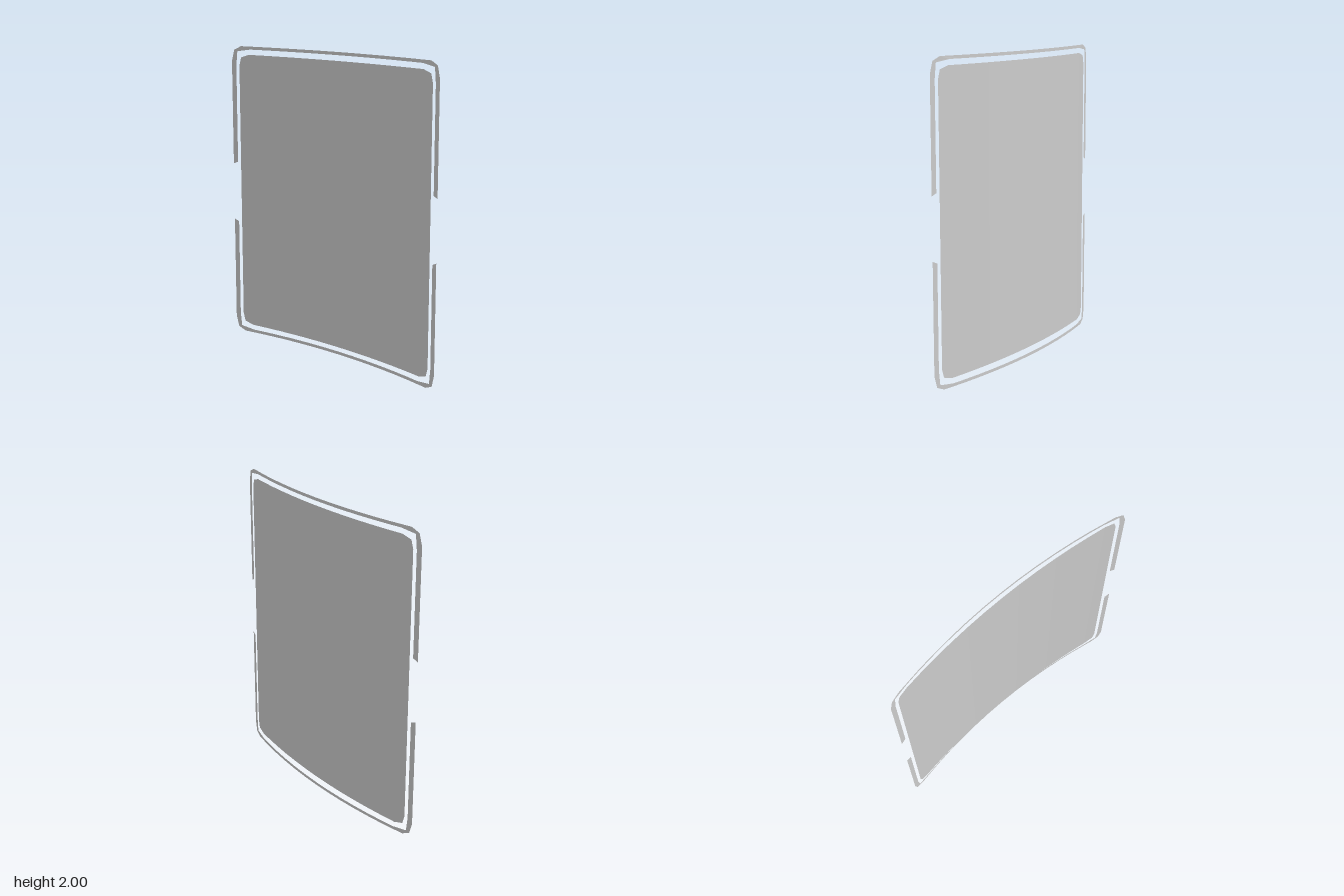
import * as THREE from 'three';

const material = new THREE.MeshStandardMaterial({ color: 0xcccccc, flatShading: true, side: THREE.DoubleSide });

// Shallow bows across the width
const frameBow = (x) => -0.047 + 0.121 * x * x;
const panelBow = (x) => -0.036 + 0.105 * x * x;

// Bent ribbon between two rows of [x, y] points, front towards +z
function ribbon(name, lower, upper, bow) {
  const positions = [];
  const index = [];
  lower.forEach((low, i) => {
    for (const [x, y] of [low, upper[i]]) positions.push(x, y, bow(x));
    if (i > 0) {
      const a = 2 * (i - 1);
      index.push(a, a + 2, a + 3, a, a + 3, a + 1);
    }
  });
  const geometry = new THREE.BufferGeometry();
  geometry.setAttribute('position', new THREE.Float32BufferAttribute(positions, 3));
  geometry.setIndex(index);
  geometry.computeVertexNormals();
  const mesh = new THREE.Mesh(geometry, material);
  mesh.name = name;
  return mesh;
}

// Complete a right half (ordered from the centre outwards) with its mirror image
const mirrorX = (half) => [...half.slice(1).reverse().map(([x, y]) => [-x, y]), ...half];
const flipY = (points) => points.map(([x, y]) => [x, 2 - y]);

export function createModel() {
  const group = new THREE.Group();
  group.name = 'curvedPanelWithFrame';
  const columns = [0, 0.13, 0.26, 0.4, 0.52, 0.64];

  // Main panel with clipped corners
  const panelTop = mirrorX([
    ...columns.map((x) => [x, 1.945]),
    [0.745, 1.945], [0.81, 1.925], [0.825, 1.87],
  ]);
  group.add(ribbon('panel', flipY(panelTop), panelTop, panelBow));

  // Upper and lower frame brackets, with a gap at mid height on each side
  const outer = mirrorX([
    ...columns.map((x) => [x, 2]),
    [0.81, 2], [0.865, 1.975], [0.885, 1.9], [0.885, 1.195],
  ]);
  const inner = mirrorX([
    ...columns.map((x) => [x, 1.98]),
    [0.735, 1.98], [0.84, 1.965], [0.85, 1.87], [0.85, 1.21],
  ]);
  group.add(ribbon('upperFrame', inner, outer, frameBow));
  group.add(ribbon('lowerFrame', flipY(outer), flipY(inner), frameBow));

  return group;
}
